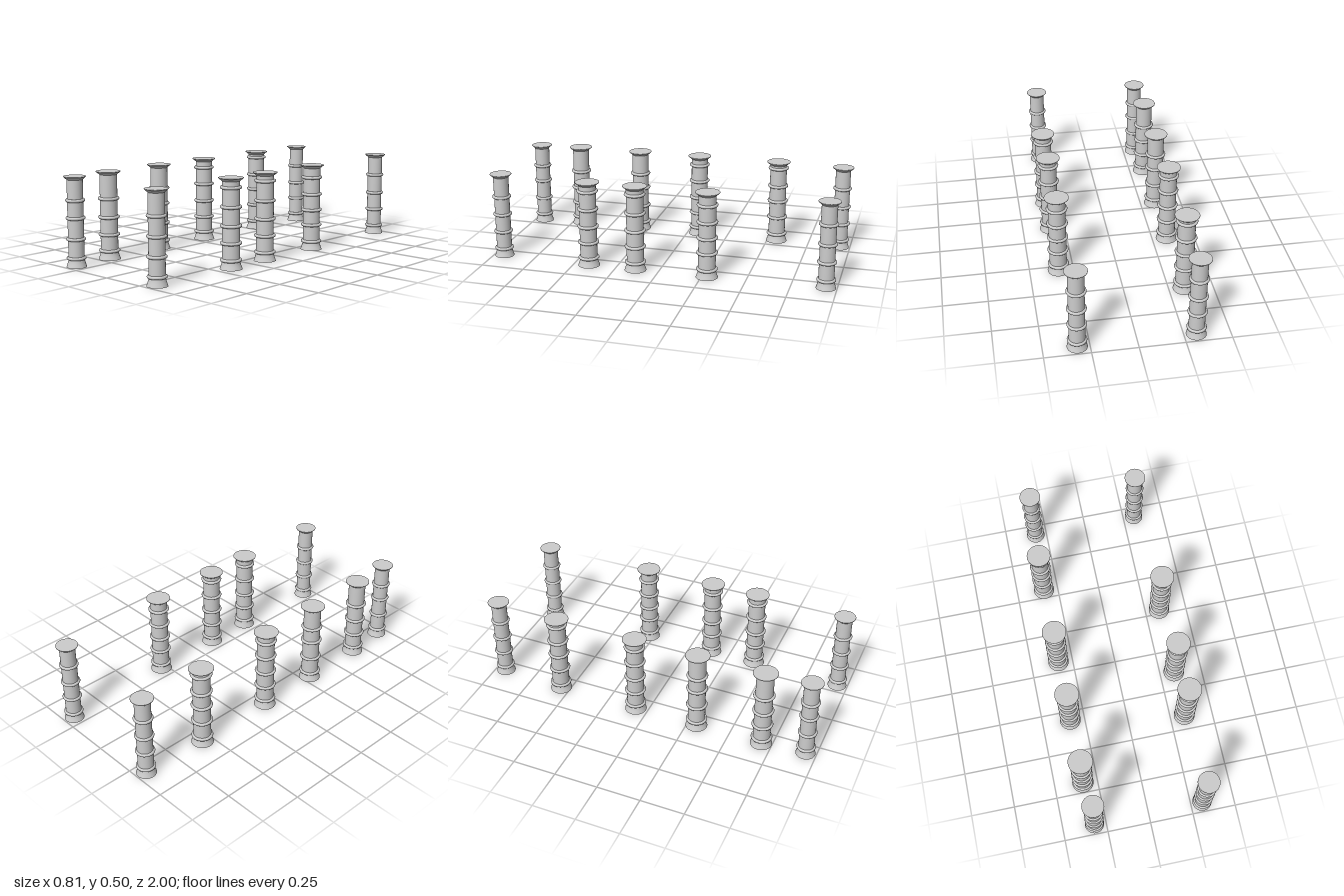
import * as THREE from 'three';

const SIDES = 32;
const HEIGHT = 0.497;

// x, z, radial scale, heights of the ring bands
const COLUMNS = [
  [-0.317, 0.939, 1, [0.05, 0.155, 0.27, 0.367]],
  [0.317, 0.939, 1, [0.05, 0.153, 0.257, 0.362]],
  [-0.317, -0.939, 1, [0.05, 0.153, 0.257, 0.37]],
  [0.317, -0.939, 1, [0.05, 0.153, 0.257, 0.37]],
  [-0.335, 0.688, 1.12, [0.05, 0.142, 0.24, 0.345]],
  [-0.335, 0.302, 1.12, [0.05, 0.155, 0.27, 0.36]],
  [-0.335, -0.073, 1.12, [0.05, 0.142, 0.24, 0.343, 0.443]],
  [-0.335, -0.555, 1.12, [0.05, 0.155, 0.257, 0.35, 0.46]],
  [0.335, 0.411, 1.12, [0.05, 0.143, 0.237, 0.34, 0.445]],
  [0.335, 0.134, 1.12, [0.05, 0.143, 0.238, 0.34, 0.45]],
  [0.335, -0.28, 1.12, [0.05, 0.147, 0.235, 0.327, 0.425]],
];

export function createModel() {
  const model = new THREE.Group();
  model.name = 'colonnade';
  const stone = new THREE.MeshStandardMaterial({ color: 0xcccccc });
  stone.name = 'pale grey stone';

  const lathe = (points) =>
    new THREE.LatheGeometry(points.map(([r, y]) => new THREE.Vector2(r, y)), SIDES);

  // Shared parts of a column of unit radial scale
  const parts = {
    foot: lathe([[0.0555, 0], [0.053, 0.008], [0.049, 0.02], [0.0455, 0.033], [0.0435, 0.048]]),
    shaft: lathe([[0.0435, 0.048], [0.0435, 0.479]]),
    capital: lathe([[0.0435, 0.479], [0.061, 0.494]]),
    capitalRim: lathe([[0.061, 0.494], [0.061, HEIGHT]]),
    topFace: new THREE.CircleGeometry(0.061, SIDES).rotateX(-Math.PI / 2).translate(0, HEIGHT, 0),
    bottomFace: new THREE.CircleGeometry(0.0555, SIDES).rotateX(Math.PI / 2),
  };
  const ringShape = new THREE.TorusGeometry(0.0445, 0.009, 10, SIDES).rotateX(Math.PI / 2);

  const add = (group, name, geometry, y = 0) => {
    const mesh = new THREE.Mesh(geometry, stone);
    mesh.name = name;
    mesh.position.y = y;
    group.add(mesh);
  };

  for (const [x, z, scale, rings] of COLUMNS) {
    const column = new THREE.Group();
    column.name = 'column';
    for (const [name, geometry] of Object.entries(parts)) add(column, name, geometry);
    for (const y of rings) add(column, 'ringBand', ringShape, y);
    column.position.set(x, 0, z);
    column.scale.set(scale, 1, scale);
    model.add(column);
  }
  return model;
}
